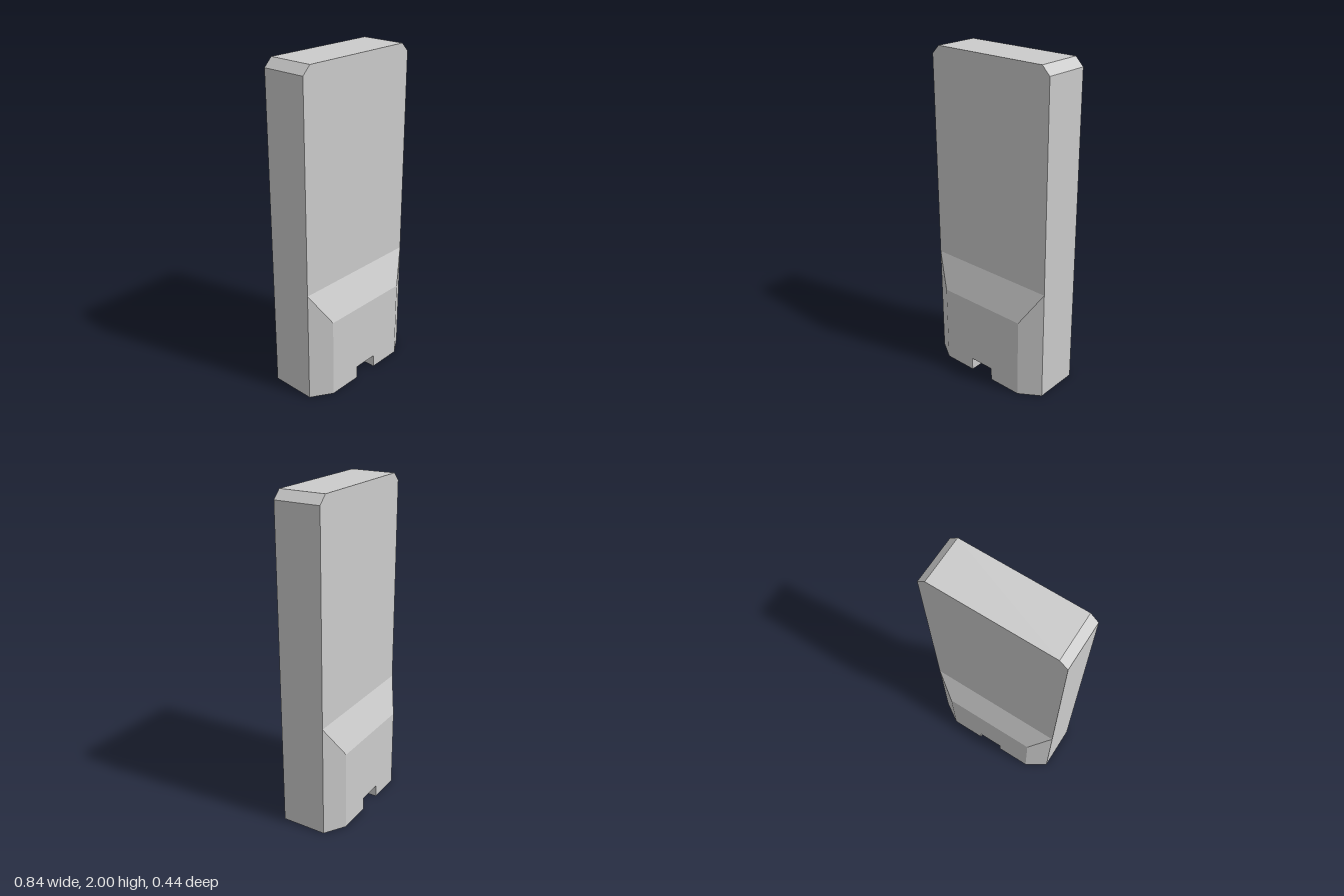
import * as THREE from 'three';

const W = 0.42, T = 0.14;            // half width and half thickness of the slab
const JOIN = 0.7, TOP = 2, CUT = 0.05;
const FOOT_W = 0.295, FOOT_T = 0.22, FOOT_H = 0.5; // raised faces of the foot
const NOTCH = 0.08;

// Extrudes an outline along z, centred on z = 0
function extrude(points, halfDepth, steps) {
  const shape = new THREE.Shape(points.map(([x, y]) => new THREE.Vector2(x, y)));
  const geometry = new THREE.ExtrudeGeometry(shape, { depth: 2 * halfDepth, steps, bevelEnabled: false });
  return geometry.translate(0, 0, -halfDepth);
}

// Drops the hidden triangles lying on the joint and gives flat normals
function openJoint(geometry) {
  const p = geometry.getAttribute('position');
  const kept = [];
  for (let i = 0; i < p.count; i += 3) {
    const corners = [i, i + 1, i + 2];
    if (corners.every((k) => Math.abs(p.getY(k) - JOIN) < 1e-4)) continue;
    for (const k of corners) kept.push(p.getX(k), p.getY(k), p.getZ(k));
  }
  const open = new THREE.BufferGeometry();
  open.setAttribute('position', new THREE.Float32BufferAttribute(kept, 3));
  open.computeVertexNormals();
  return open;
}

export function createModel() {
  const group = new THREE.Group();
  const material = new THREE.MeshStandardMaterial({ color: 0xcccccc, flatShading: true });
  const add = (name, geometry) => {
    const mesh = new THREE.Mesh(openJoint(geometry), material);
    mesh.name = name;
    group.add(mesh);
  };

  // Upper slab with chamfered top corners
  add('slab', extrude([
    [-W, JOIN], [W, JOIN], [W, TOP - CUT], [W - CUT, TOP], [CUT - W, TOP], [-W, TOP - CUT],
  ], T, 1));

  // Thickened foot with a slot across its underside
  const foot = extrude([
    [-W, 0], [-NOTCH, 0], [-NOTCH, NOTCH], [NOTCH, NOTCH], [NOTCH, 0], [W, 0], [W, JOIN], [-W, JOIN],
  ], FOOT_T, 3);
  const p = foot.getAttribute('position');
  for (let i = 0; i < p.count; i++) {
    const x = p.getX(i), y = p.getY(i), z = p.getZ(i);
    if (Math.abs(z) < 0.1) {
      p.setZ(i, Math.sign(z) * T); // inner layers meet the slab faces
    } else {
      // outer layers shrink to form the sloped sides and shoulder
      if (Math.abs(x) > FOOT_W) p.setX(i, Math.sign(x) * FOOT_W);
      p.setY(i, Math.min(y, FOOT_H));
    }
  }
  add('foot', foot);

  return group;
}
